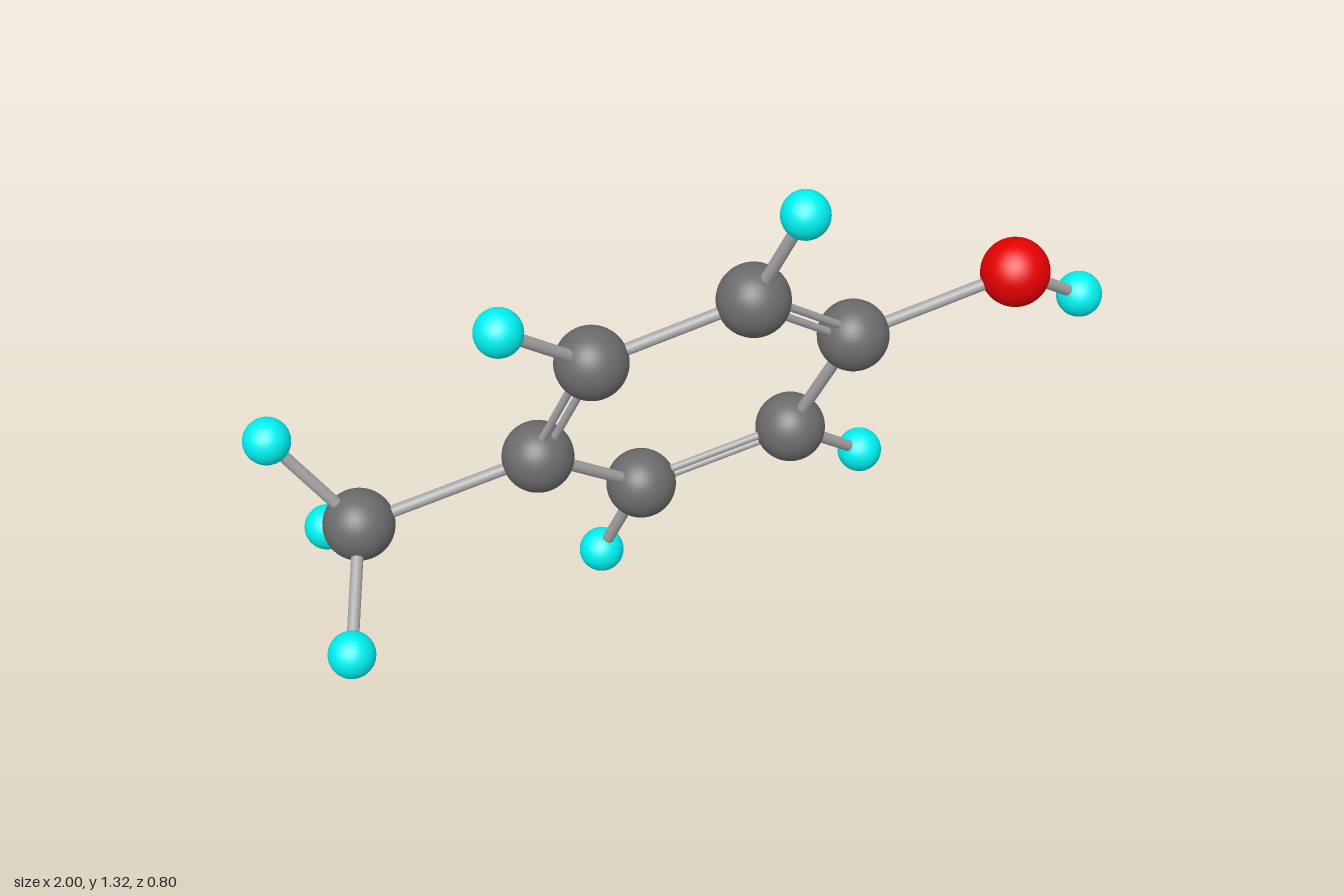
import * as THREE from 'three';

// Atom kinds: radius and colour
const KINDS = {
  carbon: { radius: 0.083, color: 0x6b6b6b },
  oxygen: { radius: 0.08, color: 0xe60000 },
  hydrogen: { radius: 0.054, color: 0x00f0f0 },
};

// name: [kind, x, y, z]
const ATOMS = {
  ring1: ['carbon', -0.347, 0.552, 0.037],
  ring2: ['carbon', -0.228, 0.886, 0.177],
  ring3: ['carbon', 0.13, 0.998, 0.131],
  ring4: ['carbon', 0.382, 0.778, -0.054],
  ring5: ['carbon', 0.262, 0.441, -0.194],
  ring6: ['carbon', -0.099, 0.332, -0.149],
  methyl: ['carbon', -0.76, 0.425, 0.086],
  oxygen: ['oxygen', 0.757, 0.898, -0.098],
  hydroxylH: ['hydrogen', 0.944, 0.751, -0.228],
  ringH2: ['hydrogen', -0.428, 1.068, 0.327],
  ringH3: ['hydrogen', 0.222, 1.271, 0.249],
  ringH5: ['hydrogen', 0.457, 0.258, -0.347],
  ringH6: ['hydrogen', -0.19, 0.058, -0.264],
  methylHa: ['hydrogen', -0.947, 0.675, 0.1],
  methylHb: ['hydrogen', -0.785, 0.258, 0.349],
  methylHc: ['hydrogen', -0.848, 0.247, -0.158],
};

// [from, to, order]
const BONDS = [
  ['ring1', 'ring2', 2], ['ring2', 'ring3', 1], ['ring3', 'ring4', 2],
  ['ring4', 'ring5', 1], ['ring5', 'ring6', 2], ['ring6', 'ring1', 1],
  ['ring1', 'methyl', 1], ['ring4', 'oxygen', 1], ['oxygen', 'hydroxylH', 1],
  ['ring2', 'ringH2', 1], ['ring3', 'ringH3', 1],
  ['ring5', 'ringH5', 1], ['ring6', 'ringH6', 1],
  ['methyl', 'methylHa', 1], ['methyl', 'methylHb', 1], ['methyl', 'methylHc', 1],
];

const position = (name) => new THREE.Vector3(...ATOMS[name].slice(1));

export function createModel() {
  const model = new THREE.Group();
  model.name = 'molecule';

  // Ball for every atom
  const balls = {};
  for (const [kind, { radius, color }] of Object.entries(KINDS)) {
    balls[kind] = {
      geometry: new THREE.SphereGeometry(radius, 40, 28),
      material: new THREE.MeshStandardMaterial({ color }),
    };
  }
  for (const [name, [kind]] of Object.entries(ATOMS)) {
    const atom = new THREE.Mesh(balls[kind].geometry, balls[kind].material);
    atom.name = `${name}Atom`;
    atom.position.copy(position(name));
    model.add(atom);
  }

  // Rods between atoms; double bonds are two thin rods side by side in the ring plane
  const rodMaterial = new THREE.MeshStandardMaterial({ color: 0xa8a8a8 });
  const up = new THREE.Vector3(0, 1, 0);
  const ringNormal = position('ring3').sub(position('ring1'))
    .cross(position('ring5').sub(position('ring1'))).normalize();

  for (const [from, to, order] of BONDS) {
    const a = position(from);
    const b = position(to);
    const direction = b.clone().sub(a);
    const length = direction.length();
    direction.normalize();
    const sideways = direction.clone().cross(ringNormal).normalize();
    const radius = order === 2 ? 0.009 : 0.014;

    const bond = new THREE.Group();
    bond.name = `${from}To${to[0].toUpperCase()}${to.slice(1)}Bond`;
    for (const offset of order === 2 ? [-0.015, 0.015] : [0]) {
      const rod = new THREE.Mesh(new THREE.CylinderGeometry(radius, radius, length, 20), rodMaterial);
      rod.name = 'rod';
      rod.position.copy(a).add(b).multiplyScalar(0.5).addScaledVector(sideways, offset);
      rod.quaternion.setFromUnitVectors(up, direction);
      bond.add(rod);
    }
    model.add(bond);
  }
  return model;
}
